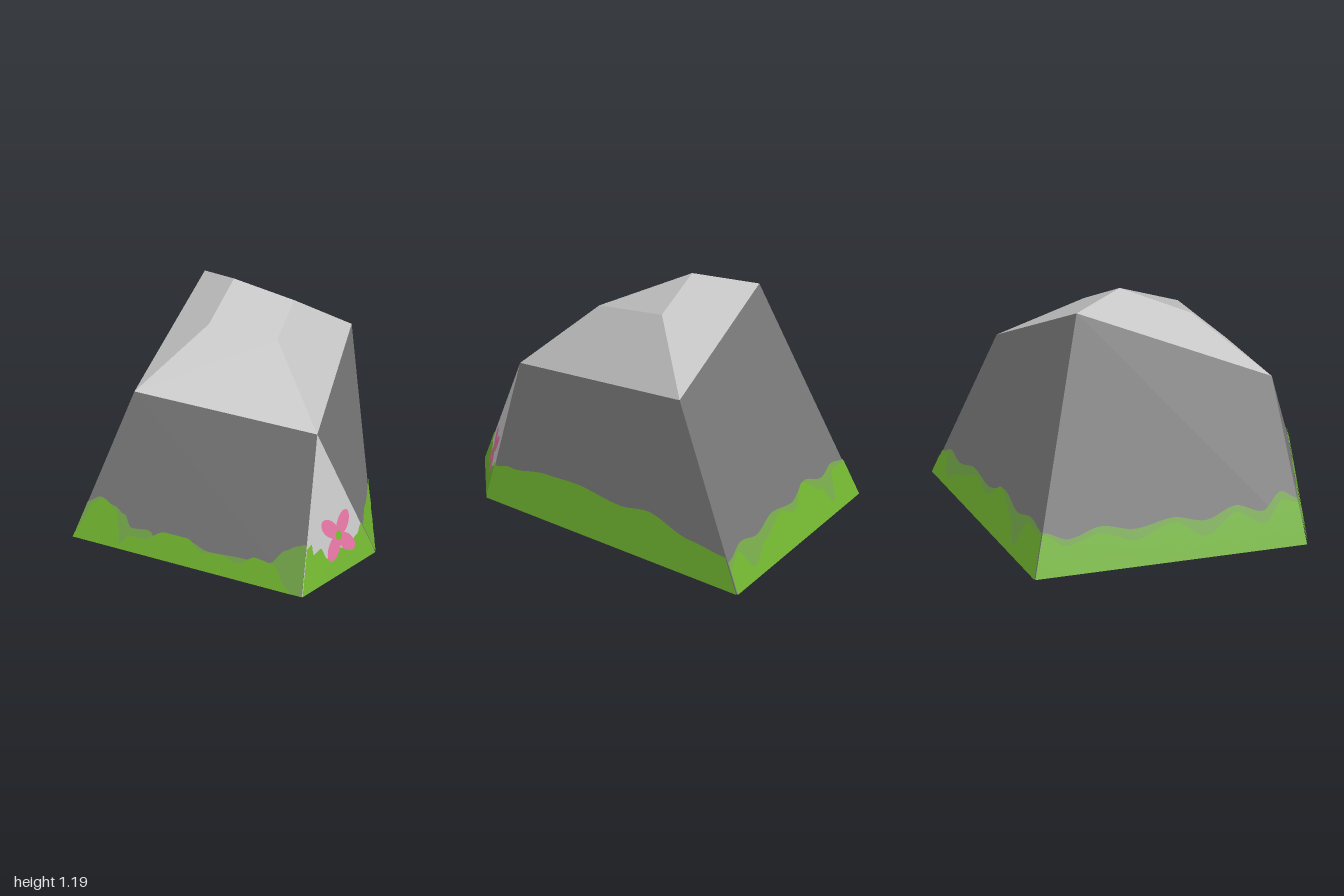
import * as THREE from 'three';

const V = (x, y, z) => new THREE.Vector3(x, y, z);
const mat = (name, color, side = THREE.FrontSide) => {
  const m = new THREE.MeshStandardMaterial({ color, side });
  m.name = name;
  return m;
};

// Corners of the boulder: ground outline, shoulder ring, crown
const A = V(-0.87, 0, 0.3), B = V(0.21, 0, 1), C = V(0.64, 0, 0.62), D = V(0.87, 0, -1), E = V(-0.46, 0, -1);
const a = V(-0.53, 0.79, 0.3), b = V(0.33, 0.66, 0.62), d = V(0.74, 0.79, -0.62), e = V(-0.11, 1.15, -0.56);
const t1 = V(-0.14, 1.05, 0.07), t2 = V(0.19, 1, 0.2), t3 = V(0.35, 1.05, -0.28), t4 = V(0.02, 1.19, -0.25);

const cross = (p, q, r) => q.clone().sub(p).cross(r.clone().sub(p));
// True when the outward-bulging split of quad P,Q,q,p runs from Q to p
const splitsQp = ([P, Q, q, p]) => cross(P, Q, p).dot(q.clone().sub(P)) < 0;
// One averaged normal per facet
const facetNormal = ([P, Q, q, p]) => q.clone().sub(P).cross(p.clone().sub(Q)).normalize();

// Facets with one flat normal each; corners run counter-clockwise from outside
function facets(name, faces, material) {
  const pos = [], nor = [];
  for (const f of faces) {
    const [P, Q, q, p] = f;
    const n = facetNormal(f);
    const corners = splitsQp(f) ? [P, Q, p, Q, q, p] : [P, Q, q, P, q, p];
    for (const c of corners) {
      pos.push(...c.toArray());
      nor.push(...n.toArray());
    }
  }
  const g = new THREE.BufferGeometry();
  g.setAttribute('position', new THREE.Float32BufferAttribute(pos, 3));
  g.setAttribute('normal', new THREE.Float32BufferAttribute(nor, 3));
  const mesh = new THREE.Mesh(g, material);
  mesh.name = name;
  return mesh;
}

// Point on a side facet: u runs along it, y is the height
function onFacet(f, u, y) {
  const [P, Q, q, p] = f;
  const at = (lo, hi) => lo.clone().lerp(hi, y / hi.y);
  const L = at(P, p), R = at(Q, q), M = splitsQp(f) ? at(Q, p) : at(P, q);
  const l1 = L.distanceTo(M), l2 = M.distanceTo(R), s = u * (l1 + l2);
  return s <= l1 && l1 > 1e-6 ? L.lerp(M, s / l1) : M.lerp(R, l2 > 1e-6 ? (s - l1) / l2 : 0);
}

// Height of a moss outline given as [u, height] points
function heightAt(outline, u) {
  let i = 1;
  while (i < outline.length - 1 && outline[i][0] < u) i++;
  const [u0, h0] = outline[i - 1], [u1, h1] = outline[i];
  const k = THREE.MathUtils.smoothstep(u, u0, u1);
  return h0 + (h1 - h0) * k;
}

// Thin moss sheet hugging the foot of a side facet
function moss(name, f, outline, lift, material) {
  const cols = 72, rows = 4, pos = [], nor = [], idx = [];
  const n = facetNormal(f);
  for (let i = 0; i <= cols; i++) {
    const u = i / cols, h = Math.max(0, heightAt(outline, u));
    for (let j = 0; j <= rows; j++) {
      const v = onFacet(f, u, (h * j) / rows).addScaledVector(n, lift);
      pos.push(v.x, Math.max(0, v.y), v.z);
      nor.push(...n.toArray());
      if (i < cols && j < rows) {
        const k = i * (rows + 1) + j, r = k + rows + 1;
        idx.push(k, r, k + 1, r, r + 1, k + 1);
      }
    }
  }
  const g = new THREE.BufferGeometry();
  g.setAttribute('position', new THREE.Float32BufferAttribute(pos, 3));
  g.setAttribute('normal', new THREE.Float32BufferAttribute(nor, 3));
  g.setIndex(idx);
  const mesh = new THREE.Mesh(g, material);
  mesh.name = name;
  return mesh;
}

export function createModel() {
  const lightRock = mat('light rock', 0xc4c4c4);
  const darkRock = mat('dark rock', 0x767676);
  const brightMoss = mat('bright moss', 0x70b32f);
  const paleMoss = mat('pale moss', 0x74a648);
  const pink = mat('flower pink', 0xdf729f);
  const model = new THREE.Group();
  model.name = 'mossyBoulder';

  // Stone body
  const front = [A, B, b, a], nose = [B, C, b, b], right = [C, D, d, b], back = [D, E, e, d], left = [E, A, a, e];
  model.add(facets('rockSides', [front, right, back, left], darkRock));
  model.add(facets('rockCrown', [
    nose, [a, b, t2, t1], [b, d, t3, t2], [d, e, t4, t3], [e, a, t1, t4], [t1, t2, t3, t4],
  ], lightRock));
  model.add(facets('rockUnderside', [[A, E, D, B], [B, D, C, C]], darkRock));

  // Pale moss behind, bright moss in front
  model.add(
    moss('frontPaleMoss', front, [[0, 0.2], [0.05, 0.24], [0.13, 0.21], [0.19, 0.18], [0.24, 0.12], [0.32, 0.13],
      [0.37, 0.09], [0.5, 0.13], [0.6, 0.1], [0.75, 0.11], [0.86, 0.12], [0.92, 0.18], [0.96, 0.2], [1, 0.21]], 0.004, paleMoss),
    moss('frontBrightMoss', front, [[0, 0.02], [0.03, 0.2], [0.07, 0.235], [0.14, 0.2], [0.19, 0.1], [0.21, 0.02],
      [0.24, 0.08], [0.31, 0.08], [0.39, 0.14], [0.5, 0.14], [0.57, 0.09], [0.65, 0.1], [0.73, 0.08], [0.8, 0.13],
      [0.88, 0.12], [0.93, 0.03], [0.96, 0]].concat([[1, 0]]), 0.008, brightMoss),
    moss('noseMoss', nose, [[0, 0.19], [0.08, 0.2], [0.13, 0.15], [0.25, 0.16], [0.35, 0.1], [0.5, 0.12],
      [0.7, 0.1], [0.85, 0.13], [1, 0.17]], 0.004, brightMoss),
    moss('rightMoss', right, [[0, 0.16], [0.1, 0.19], [0.3, 0.24], [0.43, 0.245], [0.62, 0.215], [0.73, 0.235],
      [0.88, 0.17], [1, 0.15]], 0.006, brightMoss),
    moss('backPaleMoss', back, [[0, 0.13], [0.1, 0.18], [0.2, 0.16], [0.35, 0.2], [0.5, 0.18], [0.65, 0.23],
      [0.78, 0.19], [0.9, 0.22], [1, 0.2]], 0.004, paleMoss),
    moss('backBrightMoss', back, [[0, 0.1], [0.06, 0.15], [0.14, 0.05], [0.26, 0.12], [0.4, 0.18], [0.5, 0.14],
      [0.62, 0.23], [0.74, 0.15], [0.8, 0.05], [0.88, 0.19], [1, 0.19]], 0.007, brightMoss),
    moss('leftPaleMoss', left, [[0, 0.2], [0.1, 0.16], [0.22, 0.2], [0.35, 0.17], [0.5, 0.2], [0.62, 0.17],
      [0.75, 0.22], [0.85, 0.18], [0.94, 0.26], [1, 0.22]], 0.004, paleMoss),
    moss('leftBrightMoss', left, [[0, 0.19], [0.1, 0.13], [0.22, 0.17], [0.35, 0.12], [0.5, 0.18], [0.62, 0.1],
      [0.75, 0.19], [0.85, 0.12], [0.94, 0.22], [1, 0.2]], 0.007, brightMoss),
  );

  // Four-petalled flower lying on the narrow front facet
  const flower = new THREE.Group();
  flower.name = 'flower';
  const n = facetNormal(nose), across = C.clone().sub(B).normalize();
  flower.quaternion.setFromRotationMatrix(new THREE.Matrix4().makeBasis(across, n.clone().cross(across), n));
  flower.position.copy(onFacet(nose, 0.57, 0.175)).addScaledVector(n, 0.006);
  for (const sx of [-1, 1]) for (const sy of [-1, 1]) {
    const petal = new THREE.Mesh(new THREE.CircleGeometry(1, 16), pink);
    petal.name = 'petal';
    petal.scale.set(0.068, 0.04, 1);
    petal.rotation.z = sx * sy * 0.75;
    petal.position.set(sx * 0.05, sy * 0.05, 0);
    flower.add(petal);
  }
  const heart = new THREE.Mesh(new THREE.CircleGeometry(0.023, 14), brightMoss);
  heart.name = 'flowerCentre';
  heart.position.z = 0.002;
  flower.add(heart);
  model.add(flower);
  return model;
}
